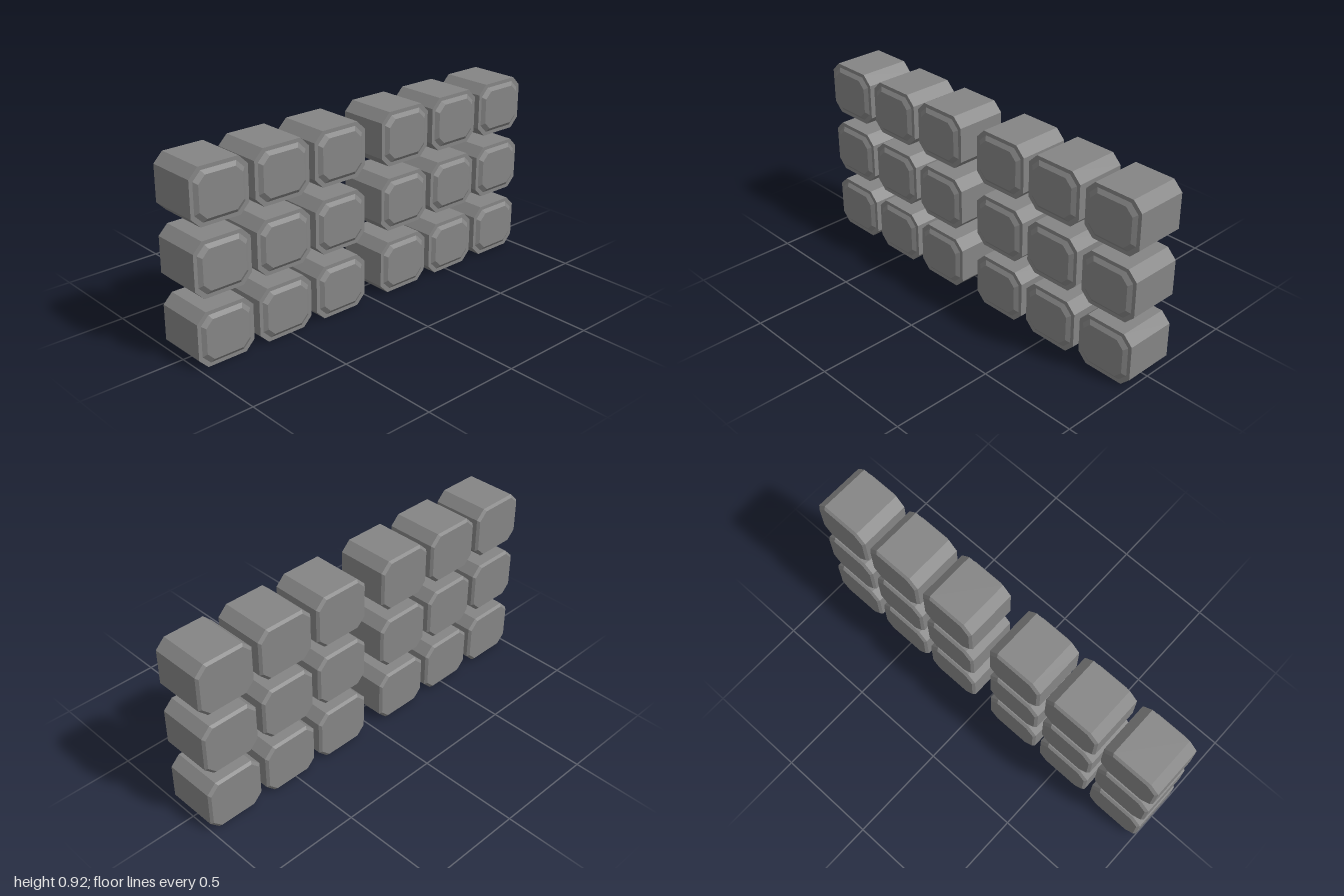
import * as THREE from 'three';

const W = 0.294, H = 0.264, CHAMFER = 0.046;

// Chamfered rectangle, counter-clockwise seen from +z, shrunk by inset
function octagon(inset, z) {
  const x = W / 2 - inset, y = H / 2 - inset;
  const c = CHAMFER - inset * 0.3;
  return [
    [x, -y + c], [x, y - c], [x - c, y], [-x + c, y],
    [-x, y - c], [-x, -y + c], [-x + c, -y], [x - c, -y],
  ].map(([px, py]) => new THREE.Vector3(px, py, z));
}

// Joins cross-sections from back to front and closes both ends
function loft(sections) {
  const rings = sections.map(([inset, z]) => octagon(inset, z));
  const points = [];
  const n = rings[0].length;
  for (let r = 0; r < rings.length - 1; r++) {
    for (let i = 0; i < n; i++) {
      const j = (i + 1) % n;
      const a = rings[r][i], b = rings[r][j], c = rings[r + 1][j], d = rings[r + 1][i];
      points.push(a, b, c, a, c, d);
    }
  }
  const back = rings[0], front = rings[rings.length - 1];
  for (let i = 1; i < n - 1; i++) {
    points.push(back[0], back[i + 1], back[i]);
    points.push(front[0], front[i], front[i + 1]);
  }
  const geometry = new THREE.BufferGeometry().setFromPoints(points);
  geometry.computeVertexNormals();
  return geometry;
}

export function createModel() {
  const model = new THREE.Group();
  model.name = 'blockGrid';
  const material = new THREE.MeshStandardMaterial({ color: 0x858585, flatShading: true });

  // Block with a bevelled back, a flat front rim and a raised front panel
  const blockGeometry = loft([
    [0.011, -0.14], [0, -0.128], [0, 0.126], [0.018, 0.126], [0.036, 0.14],
  ]);

  // Three rows, two mirrored banks of three columns
  for (let row = 0; row < 3; row++) {
    for (const side of [-1, 1]) {
      for (let col = 0; col < 3; col++) {
        const block = new THREE.Mesh(blockGeometry, material);
        block.name = `block${side < 0 ? 'Right' : 'Left'}Row${row + 1}Column${col + 1}`;
        block.position.set(side * (0.2 + col * 0.3265), H / 2 + row * 0.326, 0);
        model.add(block);
      }
    }
  }
  return model;
}
